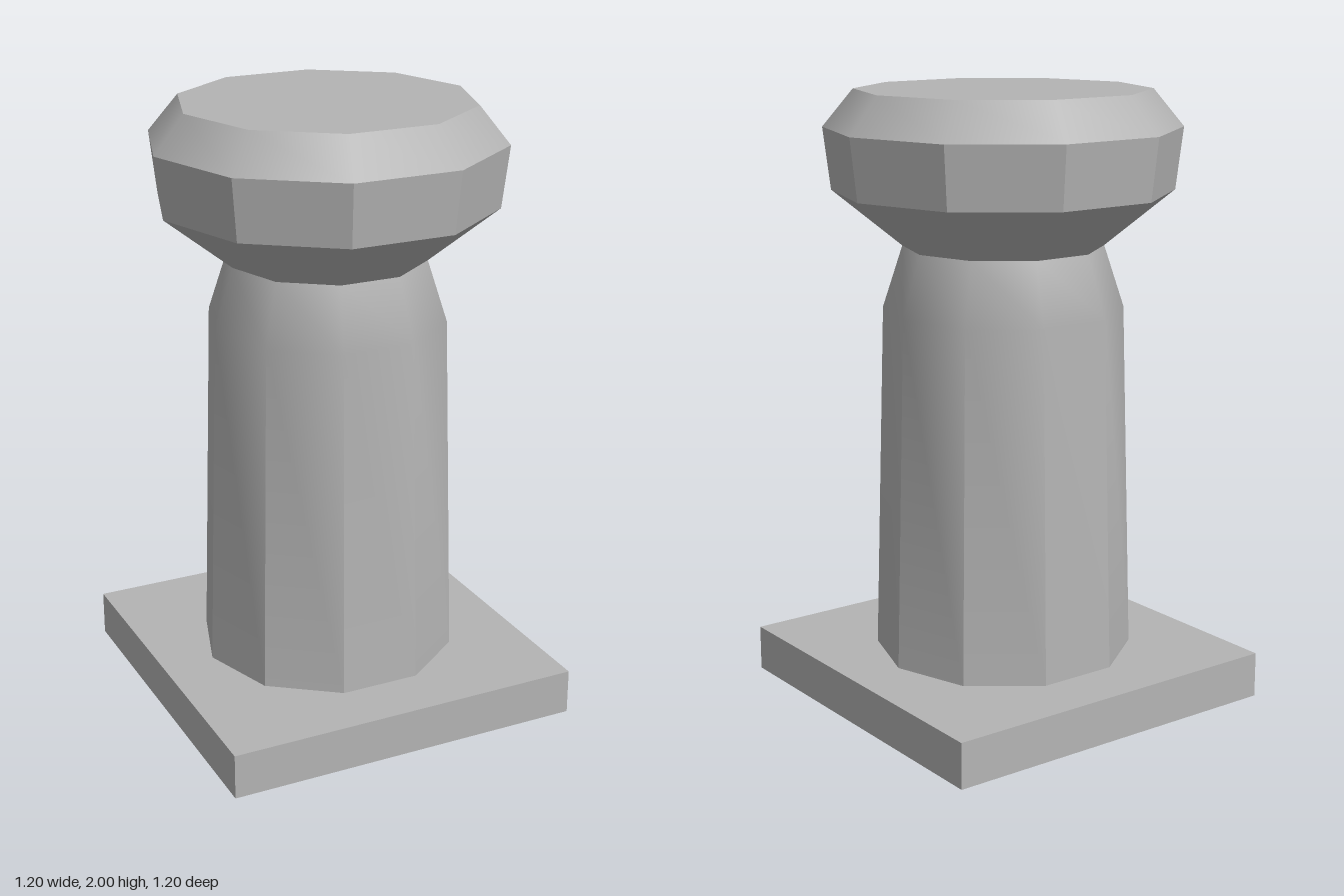
import * as THREE from 'three';

const SIDES = 10;

// Ten-sided turned surface with corners on the x axis, profile from bottom to top
function turned(profile) {
  const points = profile.map(([r, y]) => new THREE.Vector2(r, y));
  return new THREE.LatheGeometry(points, SIDES, Math.PI / 2);
}

// Separate faces with flat normals
function faceted(geometry) {
  const flat = geometry.toNonIndexed();
  flat.computeVertexNormals();
  return flat;
}

// Shaft: rounded at the shoulder, turning into flat facets at the foot
function shaftGeometry() {
  const geometry = turned([[0.425, 0.15], [0.39, 1.3], [0.325, 1.5]]);
  const smooth = geometry.toNonIndexed();
  const flat = faceted(geometry);
  const position = smooth.attributes.position;
  for (let i = 0; i < position.count; i++) {
    if (position.getY(i) < 0.2) {
      const n = flat.attributes.normal;
      smooth.attributes.normal.setXYZ(i, n.getX(i), n.getY(i), n.getZ(i));
    }
  }
  return smooth;
}

export function createModel() {
  const group = new THREE.Group();
  const stone = new THREE.MeshStandardMaterial({ color: 0xb4b4b4 });
  stone.name = 'grey stone';

  const add = (name, geometry) => {
    const mesh = new THREE.Mesh(geometry, stone);
    mesh.name = name;
    group.add(mesh);
    return mesh;
  };

  // Square foot plate
  add('basePlate', new THREE.BoxGeometry(1.2, 0.15, 1.2)).position.y = 0.075;

  // Tapered post
  add('shaft', shaftGeometry());

  // Mushroom head: flare, faceted band, bevel and flat top
  add('headFlare', turned([[0.325, 1.5], [0.55, 1.68]]));
  add('headBand', faceted(turned([[0.55, 1.68], [0.574, 1.88]])));
  add('headBevel', turned([[0.574, 1.88], [0.475, 2]]));
  const top = add('headTop', new THREE.CircleGeometry(0.475, SIDES));
  top.rotation.x = -Math.PI / 2;
  top.position.y = 2;

  return group;
}
